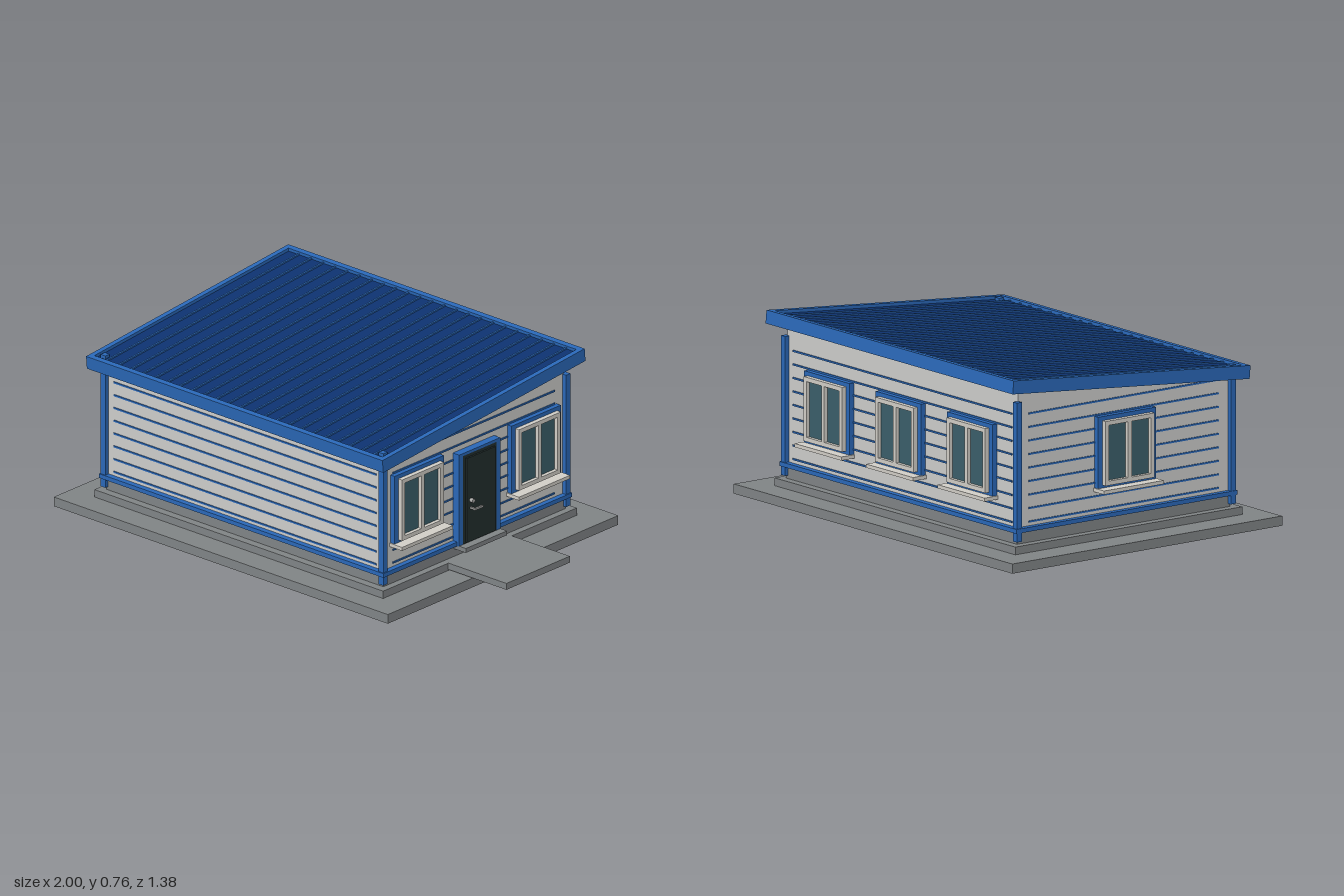
import * as THREE from 'three';

const mat = (name, color) => {
  const m = new THREE.MeshStandardMaterial({ color });
  m.name = name;
  return m;
};

export function createModel() {
  const concrete = mat('concrete grey', 0x808486);
  const wallGrey = mat('wall light grey', 0xcdcdcb);
  const blue = mat('trim blue', 0x2a68b8);
  const navy = mat('roof navy', 0x0d3270);
  const white = mat('frame off white', 0xd2cfc8);
  const glass = mat('window glass', 0x3b5f6a);
  const doorDark = mat('door dark', 0x222e2d);
  const metal = mat('handle metal', 0xa8a8a6);

  const model = new THREE.Group();
  model.name = 'siteCabin';

  const add = (parent, name, geo, material, x = 0, y = 0, z = 0) => {
    const m = new THREE.Mesh(geo, material);
    m.name = name;
    m.position.set(x, y, z);
    parent.add(m);
    return m;
  };
  // box given by its minimum and maximum corners
  const box = (parent, name, material, [x0, y0, z0], [x1, y1, z1]) =>
    add(parent, name, new THREE.BoxGeometry(x1 - x0, y1 - y0, z1 - z0), material,
      (x0 + x1) / 2, (y0 + y1) / 2, (z0 + z1) / 2);
  // rectangular plate with rectangular holes [cx, cy, w, h]
  const ring = (w, h, depth, holes) => {
    const rect = (P, cx, cy, a, b) => {
      const p = new P();
      p.moveTo(cx - a / 2, cy - b / 2).lineTo(cx + a / 2, cy - b / 2);
      p.lineTo(cx + a / 2, cy + b / 2).lineTo(cx - a / 2, cy + b / 2).closePath();
      return p;
    };
    const s = rect(THREE.Shape, 0, 0, w, h);
    s.holes = holes.map((o) => rect(THREE.Path, ...o));
    return new THREE.ExtrudeGeometry(s, { depth, bevelEnabled: false });
  };

  // wall extents
  const X0 = -0.845, X1 = 0.65, Z = 0.54, MID = (X0 + X1) / 2;
  const slope = 0.0905;

  // ground and foundation
  box(model, 'groundSlab', concrete, [-1, 0, -0.69], [0.81, 0.04, 0.69]);
  box(model, 'foundation', concrete, [-0.88, 0.04, -0.58], [0.685, 0.072, 0.58]);
  box(model, 'plinth', concrete, [-0.845, 0.072, -0.545], [0.655, 0.122, 0.545]);
  box(model, 'entranceStep', concrete, [0.68, 0.045, -0.19], [1, 0.073, 0.19]);

  // walls with a sloping top
  const top = (z) => 0.672 - slope * z;
  const profile = new THREE.Shape([
    new THREE.Vector2(-Z, 0.12), new THREE.Vector2(Z, 0.12),
    new THREE.Vector2(Z, top(-Z)), new THREE.Vector2(-Z, top(Z)),
  ]);
  const wallGeo = new THREE.ExtrudeGeometry(profile, { depth: X1 - X0, bevelEnabled: false });
  wallGeo.rotateY(Math.PI / 2).translate(X0, 0, 0);
  add(model, 'walls', wallGeo, wallGrey);

  // blue base rail and corner posts
  box(model, 'baseRail', blue, [-0.868, 0.122, -0.565], [0.673, 0.14, 0.565]);
  for (const x of [-0.851, 0.655])
    for (const z of [-0.547, 0.547])
      box(model, 'cornerPost', blue, [x - 0.013, 0.085, z - 0.013], [x + 0.013, 0.66, z + 0.013]);

  // each wall face is a group whose local +z points outwards
  const face = (name, x, z, turn) => {
    const g = new THREE.Group();
    g.name = name;
    g.position.set(x, 0, z);
    g.rotation.y = turn;
    model.add(g);
    return g;
  };
  const front = face('frontWall', MID, Z, 0);
  const back = face('backWall', MID, -Z, Math.PI);
  const doorSide = face('doorWall', X1, 0, Math.PI / 2);
  const farSide = face('farWall', X0, 0, -Math.PI / 2);

  // siding lines
  for (const [g, half, count] of [[front, 0.712, 8], [back, 0.712, 9], [doorSide, 0.485, 9], [farSide, 0.485, 9]])
    for (let i = 0; i < count; i++) {
      const y = 0.157 + i * 0.0558;
      box(g, 'sidingLine', blue, [-half, y - 0.0035, -0.002], [half, y + 0.0035, 0.004]);
    }

  // two-pane windows with trim and sill
  const addWindow = (parent, x) => {
    const g = new THREE.Group();
    g.name = 'window';
    g.position.set(x, 0.393, 0);
    parent.add(g);
    add(g, 'windowTrim', ring(0.295, 0.3, 0.023, [[0, 0, 0.25, 0.266]]), blue);
    add(g, 'windowFrame', ring(0.25, 0.266, 0.043,
      [[-0.058, 0, 0.097, 0.23], [0.058, 0, 0.097, 0.23]]), white);
    box(g, 'windowGlass', glass, [-0.12, -0.125, 0.019], [0.12, 0.125, 0.027]);
    box(g, 'windowSill', white, [-0.153, -0.16, 0], [0.153, -0.145, 0.068]);
  };
  for (const x of [-0.465, 0, 0.465]) addWindow(back, x);
  for (const x of [-0.35, 0.35]) addWindow(doorSide, x);
  addWindow(farSide, 0);

  // door with surround, threshold and handle
  const door = new THREE.Group();
  door.name = 'door';
  doorSide.add(door);
  for (const s of [-1, 1])
    add(door, 'doorJamb', new THREE.BoxGeometry(0.022, 0.39, 0.034), blue, s * 0.112, 0.317, 0.017);
  box(door, 'doorHead', blue, [-0.123, 0.51, 0], [0.123, 0.522, 0.034]);
  box(door, 'doorFrame', doorDark, [-0.101, 0.125, 0], [0.101, 0.51, 0.034]);
  box(door, 'doorLeaf', doorDark, [-0.085, 0.13, 0.034], [0.085, 0.497, 0.042]);
  box(door, 'doorThreshold', concrete, [-0.123, 0.106, 0], [0.123, 0.125, 0.07]);
  const knobGeo = new THREE.CylinderGeometry(0.009, 0.009, 0.016, 16).rotateX(Math.PI / 2);
  add(door, 'doorLock', knobGeo, metal, -0.062, 0.31, 0.05);
  box(door, 'doorHandleStem', metal, [-0.067, 0.273, 0.042], [-0.059, 0.281, 0.068]);
  box(door, 'doorHandle', metal, [-0.068, 0.273, 0.062], [-0.018, 0.281, 0.07]);

  // sloping roof, higher at the back
  const roof = new THREE.Group();
  roof.name = 'roof';
  roof.position.set(-0.098, 0.6825, -0.002);
  roof.rotation.x = Math.atan(slope);
  model.add(roof);
  const fascia = ring(1.606, 1.216, 0.055, [[0, 0, 1.56, 1.166]]);
  add(roof, 'roofFascia', fascia.rotateX(-Math.PI / 2), blue, 0, -0.0275, 0);
  box(roof, 'roofSheet', navy, [-0.781, -0.012, -0.584], [0.781, 0.014, 0.584]);
  for (let i = 0; i < 23; i++) {
    const x = (i - 11) * 0.0658;
    box(roof, 'roofRib', blue, [x - 0.004, 0.012, -0.583], [x + 0.004, 0.02, 0.583]);
  }

  return model;
}
